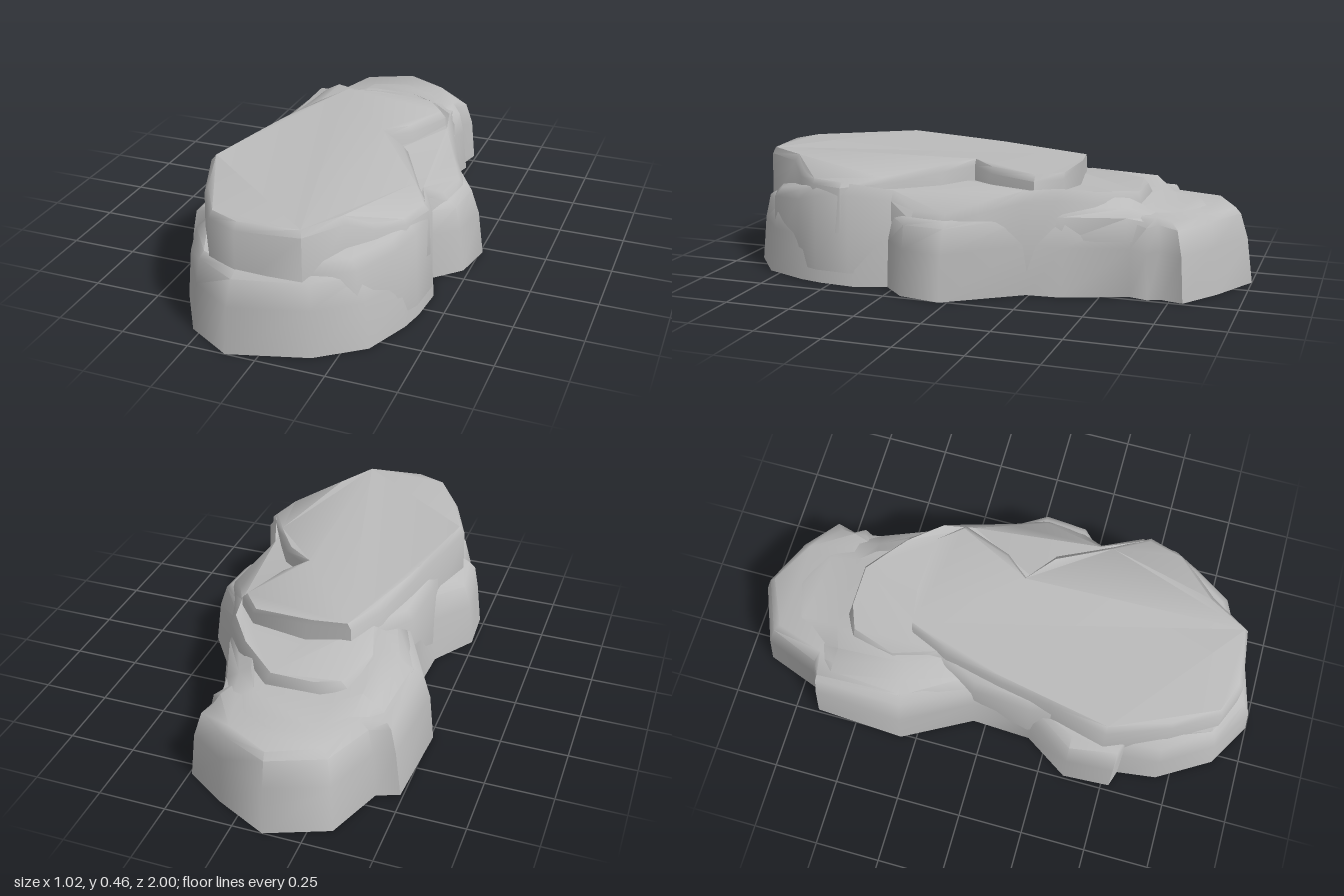
import * as THREE from 'three';
import { toCreasedNormals } from 'three/addons/utils/BufferGeometryUtils.js';

const stone = new THREE.MeshStandardMaterial({ color: 0xbcbcbc });
stone.name = 'grey stone';

// A rock slab: rim points are [x, z, topHeight]; the profile holds
// [fraction of the height, distance pulled in towards the spine].
function slab(name, rim, bottom, profile) {
  const n = rim.length;
  const rings = profile.map(([f, inset], k) => rim.map(([x, z, top], i) => {
    const dx = -0.04 - x;
    const dz = THREE.MathUtils.clamp(z, -0.55, 0.55) - z;
    const wear = 1 + 0.2 * Math.sin(i * 2.3 + k * 1.1);
    const d = inset * wear / Math.hypot(dx, dz);
    return [x + dx * d, bottom + (top - bottom) * f, z + dz * d];
  }));
  const pos = rings.flat(2);
  const index = [];
  // Walls
  for (let k = 0; k < rings.length - 1; k++) {
    for (let i = 0; i < n; i++) {
      const j = (i + 1) % n;
      const a = k * n + i, b = k * n + j;
      index.push(a, a + n, b, b, a + n, b + n);
    }
  }
  // Caps
  const cap = (k, up) => {
    const pts = rings[k].map(([x, , z]) => new THREE.Vector2(x, -z));
    for (const [a, b, c] of THREE.ShapeUtils.triangulateShape(pts, [])) {
      const ccw = THREE.ShapeUtils.area([pts[a], pts[b], pts[c]]) > 0;
      const o = k * n;
      if (ccw === up) index.push(o + a, o + b, o + c);
      else index.push(o + a, o + c, o + b);
    }
  };
  cap(0, false);
  cap(rings.length - 1, true);

  const geo = new THREE.BufferGeometry();
  geo.setAttribute('position', new THREE.Float32BufferAttribute(pos, 3));
  geo.setIndex(index);
  const mesh = new THREE.Mesh(toCreasedNormals(geo, 0.9), stone);
  mesh.name = name;
  return mesh;
}

export function createModel() {
  const group = new THREE.Group();
  group.name = 'layeredRock';

  // Wide foot of the rock
  group.add(slab('baseLayer', [
    [-0.11, -1.0, 0.29], [0.09, -0.9, 0.29], [0.24, -0.8, 0.28], [0.22, -0.72, 0.29],
    [0.24, -0.67, 0.28], [0.22, -0.6, 0.29], [0.31, -0.37, 0.3], [0.32, -0.24, 0.31],
    [0.51, 0.03, 0.28], [0.48, 0.19, 0.28], [0.39, 0.28, 0.29], [0.43, 0.4, 0.29],
    [0.42, 0.54, 0.28], [0.4, 0.63, 0.28], [0.33, 0.8, 0.28], [0.17, 0.92, 0.285],
    [-0.11, 1.0, 0.285], [-0.28, 0.9, 0.29], [-0.4, 0.7, 0.3], [-0.42, 0.55, 0.29],
    [-0.48, 0.53, 0.27], [-0.49, 0.35, 0.28], [-0.38, 0.18, 0.3], [-0.37, -0.05, 0.3],
    [-0.51, -0.31, 0.3], [-0.49, -0.66, 0.29], [-0.41, -0.69, 0.29], [-0.33, -0.91, 0.29],
  ], 0, [[0, 0], [0.6, 0.02], [0.92, 0.045], [1, 0.075]]));

  // Gently domed hump at the back
  group.add(slab('backHump', [
    [-0.11, -0.92, 0.295], [0.08, -0.84, 0.295], [0.17, -0.73, 0.3], [0.2, -0.58, 0.34],
    [0.28, -0.36, 0.35], [0.3, -0.1, 0.34], [0.0, 0.0, 0.36], [-0.34, -0.08, 0.35],
    [-0.44, -0.32, 0.36], [-0.42, -0.6, 0.345], [-0.36, -0.68, 0.31], [-0.29, -0.85, 0.295],
  ], 0.2, [[0, 0], [0.6, 0.01], [0.8, 0.055], [1, 0.12]]));

  // Middle terrace, showing as a ledge along the right side and the back
  group.add(slab('middleTerrace', [
    [-0.18, -0.6, 0.35], [0.04, -0.6, 0.35], [0.12, -0.53, 0.36], [0.2, -0.46, 0.37],
    [0.28, -0.34, 0.39], [0.32, -0.22, 0.38], [0.38, -0.08, 0.34], [0.44, 0.04, 0.3],
    [0.43, 0.17, 0.3], [0.37, 0.27, 0.36], [0.43, 0.42, 0.385], [0.42, 0.56, 0.37],
    [0.38, 0.65, 0.34], [0.29, 0.8, 0.32], [0.1, 0.89, 0.31], [-0.25, 0.8, 0.35],
    [-0.35, 0.5, 0.38], [-0.37, 0.17, 0.37], [-0.35, -0.05, 0.36], [-0.28, -0.2, 0.38],
    [-0.32, -0.38, 0.36], [-0.27, -0.55, 0.35],
  ], 0.05, [[0, 0], [0.88, 0.008], [1, 0.035]]));

  // Tall cap, running down to the foot at the front and sloping off to the right
  group.add(slab('topPlate', [
    [-0.02, -0.35, 0.44], [0.19, -0.34, 0.435], [0.27, -0.25, 0.435], [0.2, -0.06, 0.44],
    [0.12, 0.03, 0.45], [0.24, 0.12, 0.44], [0.31, 0.24, 0.41], [0.35, 0.32, 0.4],
    [0.43, 0.45, 0.39], [0.39, 0.58, 0.39], [0.31, 0.67, 0.4], [0.23, 0.74, 0.445],
    [0.13, 0.89, 0.45], [-0.1, 0.92, 0.45], [-0.22, 0.87, 0.45], [-0.32, 0.7, 0.45],
    [-0.41, 0.47, 0.46], [-0.36, 0.25, 0.455], [-0.32, 0.05, 0.45], [-0.27, -0.18, 0.44],
    [-0.2, -0.33, 0.44],
  ], 0.2, [[0, 0], [0.9, 0.008], [1, 0.025]]));

  return group;
}
